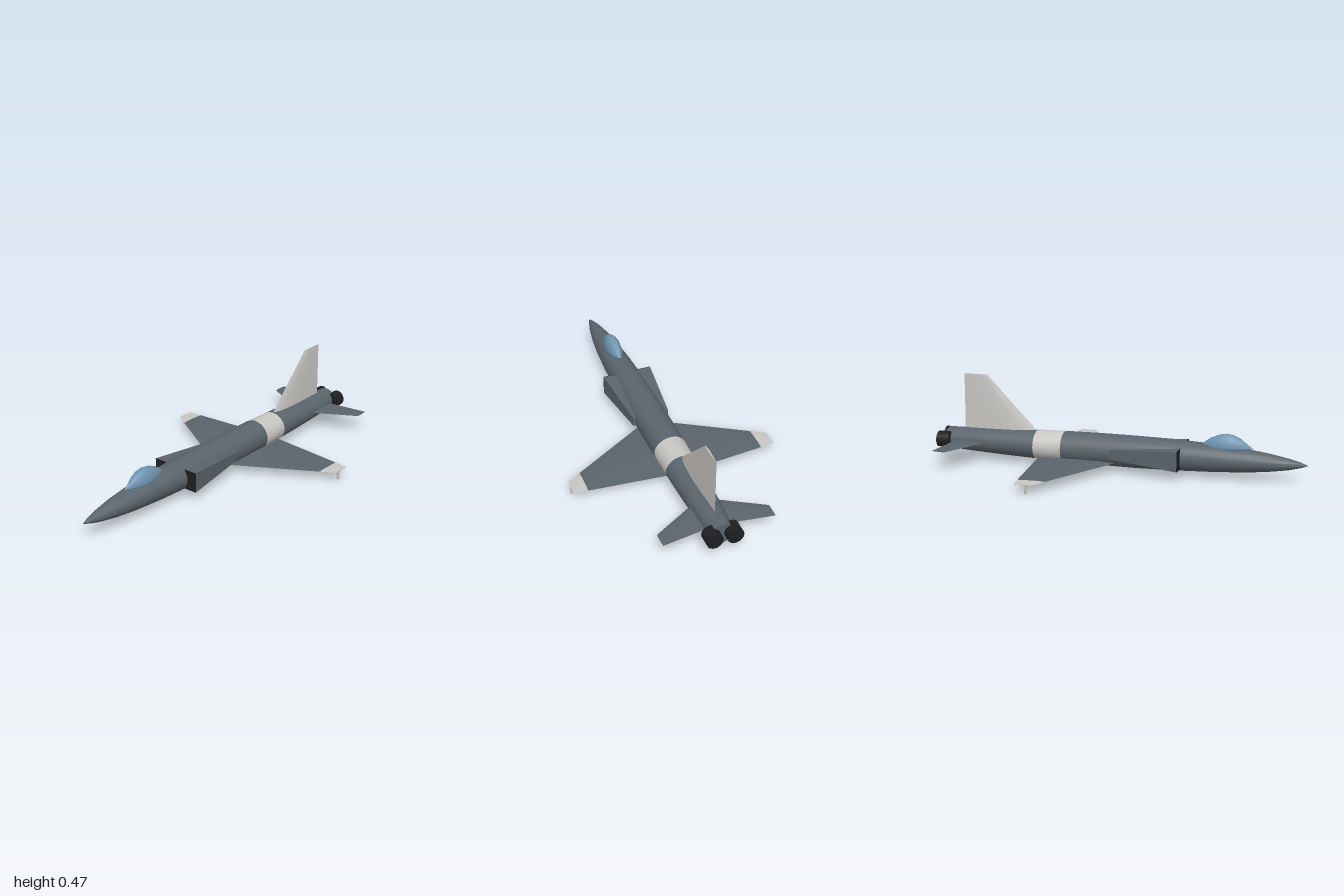
import * as THREE from 'three';
import { toCreasedNormals } from 'three/addons/utils/BufferGeometryUtils.js';

const material = (color) => new THREE.MeshStandardMaterial({ color });
const slate = material(0x5a646c);
const pale = material(0xc8c6c3);
const dark = material(0x1e1f22);
const glass = material(0x6f94b0);

// Skin a row of equal rings of [x, y, z] points, closing both ends.
function loft(rings, crease = 0.7) {
  const n = rings[0].length;
  const pos = rings.flat(2);
  let index = [];
  for (let r = 0; r < rings.length - 1; r++) {
    for (let i = 0; i < n; i++) {
      const a = r * n + i, b = r * n + (i + 1) % n;
      index.push(a, b, b + n, a, b + n, a + n);
    }
  }
  const last = (rings.length - 1) * n;
  for (let i = 1; i < n - 1; i++) {
    index.push(0, i + 1, i, last, last + i, last + i + 1);
  }
  // Turn the faces outward if the enclosed volume comes out negative.
  const p = (i) => new THREE.Vector3().fromArray(pos, i * 3);
  let volume = 0;
  for (let i = 0; i < index.length; i += 3) {
    volume += p(index[i]).dot(p(index[i + 1]).cross(p(index[i + 2])));
  }
  if (volume < 0) index = index.reverse();
  const g = new THREE.BufferGeometry();
  g.setAttribute('position', new THREE.Float32BufferAttribute(pos, 3));
  g.setIndex(index);
  return toCreasedNormals(g, crease);
}

// Oval ring across the z axis; drop flattens the lower half.
function oval(z, y, rx, ry, drop = 1, n = 28) {
  return Array.from({ length: n }, (_, i) => {
    const a = (i / n) * Math.PI * 2, s = Math.sin(a);
    return [rx * Math.cos(a), y + ry * s * (s < 0 ? drop : 1), z];
  });
}

// Thin aerofoil ring: [distance along chord, offset across it].
function foil(lead, trail, half) {
  const up = [[0, 0], [0.06, 0.5], [0.2, 0.9], [0.4, 1], [0.7, 0.6], [1, 0.04]];
  const down = up.slice(1).reverse().map(([t, h]) => [t, -h]);
  return [...up, ...down].map(([t, h]) => [lead + (trail - lead) * t, h * half]);
}

// Flying surface from [span, leading z, trailing z, half thickness] stations.
const surface = (stations, place) => loft(stations.map(([s, lead, trail, half]) =>
  foil(lead, trail, half).map(([z, h]) => place(s, h, z))), 0.6);

// Fuselage stations: z, top y, bottom y, half width
const BODY = [
  [1, 0.101, 0.099, 0.001], [0.96, 0.116, 0.085, 0.016], [0.9, 0.13, 0.07, 0.032],
  [0.8, 0.148, 0.054, 0.05], [0.68, 0.163, 0.041, 0.064], [0.5, 0.177, 0.03, 0.077],
  [0.3, 0.186, 0.022, 0.084], [0.1, 0.188, 0.018, 0.087], [-0.1, 0.188, 0.019, 0.088],
  [-0.295, 0.185, 0.022, 0.087], [-0.45, 0.181, 0.026, 0.085], [-0.62, 0.176, 0.032, 0.081],
  [-0.8, 0.17, 0.04, 0.073], [-0.96, 0.163, 0.048, 0.062],
];
const bodyPart = (from, to) => loft(BODY.slice(from, to + 1).map(([z, top, bottom, w]) =>
  oval(z, (top + bottom) / 2, w, (top - bottom) / 2)));

export function createModel() {
  const model = new THREE.Group();
  const add = (name, geometry, mat, x = 0, y = 0, z = 0) => {
    const mesh = new THREE.Mesh(geometry, mat);
    mesh.name = name;
    mesh.position.set(x, y, z);
    model.add(mesh);
    return mesh;
  };

  // Fuselage with a pale band
  add('foreFuselage', bodyPart(0, 9), slate);
  add('fuselageBand', bodyPart(9, 10), pale);
  add('aftFuselage', bodyPart(10, 13), slate);

  // Canopy: pointed bubble, nearly flat underneath
  const bubble = [[0.72, 0.002], [0.69, 0.3], [0.65, 0.72], [0.61, 0.95], [0.58, 1],
    [0.54, 0.9], [0.5, 0.66], [0.46, 0.25], [0.445, 0.002]];
  add('canopy', loft(bubble.map(([z, k]) => oval(z, 0.166, 0.044 * k, 0.071 * k, 0.25))), glass);

  // Tail fin
  add('tailFin', surface([[0.15, -0.425, -0.865, 0.017], [0.467, -0.73, -0.862, 0.004]],
    (s, h, z) => [h, s, z]), pale);

  for (const side of [1, -1]) {
    const label = side > 0 ? 'left' : 'right';
    const flat = (y) => (s, h, z) => [side * s, y + h, z];

    // Wing with a pale tip and a small post beneath it
    add(label + 'Wing', surface([[0, 0.038, -0.428, 0.009], [0.475, -0.245, -0.387, 0.003]],
      flat(0.05)), slate);
    add(label + 'WingTip', surface([[0.475, -0.245, -0.387, 0.003], [0.549, -0.29, -0.38, 0.002]],
      flat(0.05)), pale);
    add(label + 'TipPost', new THREE.CylinderGeometry(0.008, 0.008, 0.048, 10), pale,
      side * 0.54, 0.024, -0.32);

    // Tailplane
    add(label + 'Tailplane', surface([[0, -0.69, -0.895, 0.006], [0.29, -0.857, -0.936, 0.003]],
      flat(0.105)), slate);

    // Air intake: tapering box with a dark mouth
    const frame = (z, inner, outer, low, high) => [[side * inner, low, z], [side * outer, low, z],
      [side * outer, high, z], [side * inner, high, z]];
    add(label + 'Intake', loft([frame(0.349, 0.05, 0.136, 0.05, 0.157),
      frame(-0.02, 0.05, 0.098, 0.08, 0.13)], 0.2), slate);
    add(label + 'IntakeMouth', new THREE.BoxGeometry(0.086, 0.107, 0.003), dark,
      side * 0.093, 0.1035, 0.35);

    // Engine nozzle
    add(label + 'Nozzle', new THREE.CylinderGeometry(0.043, 0.043, 0.07, 20), dark,
      side * 0.053, 0.107, -0.965).rotation.x = Math.PI / 2;
  }
  return model;
}
